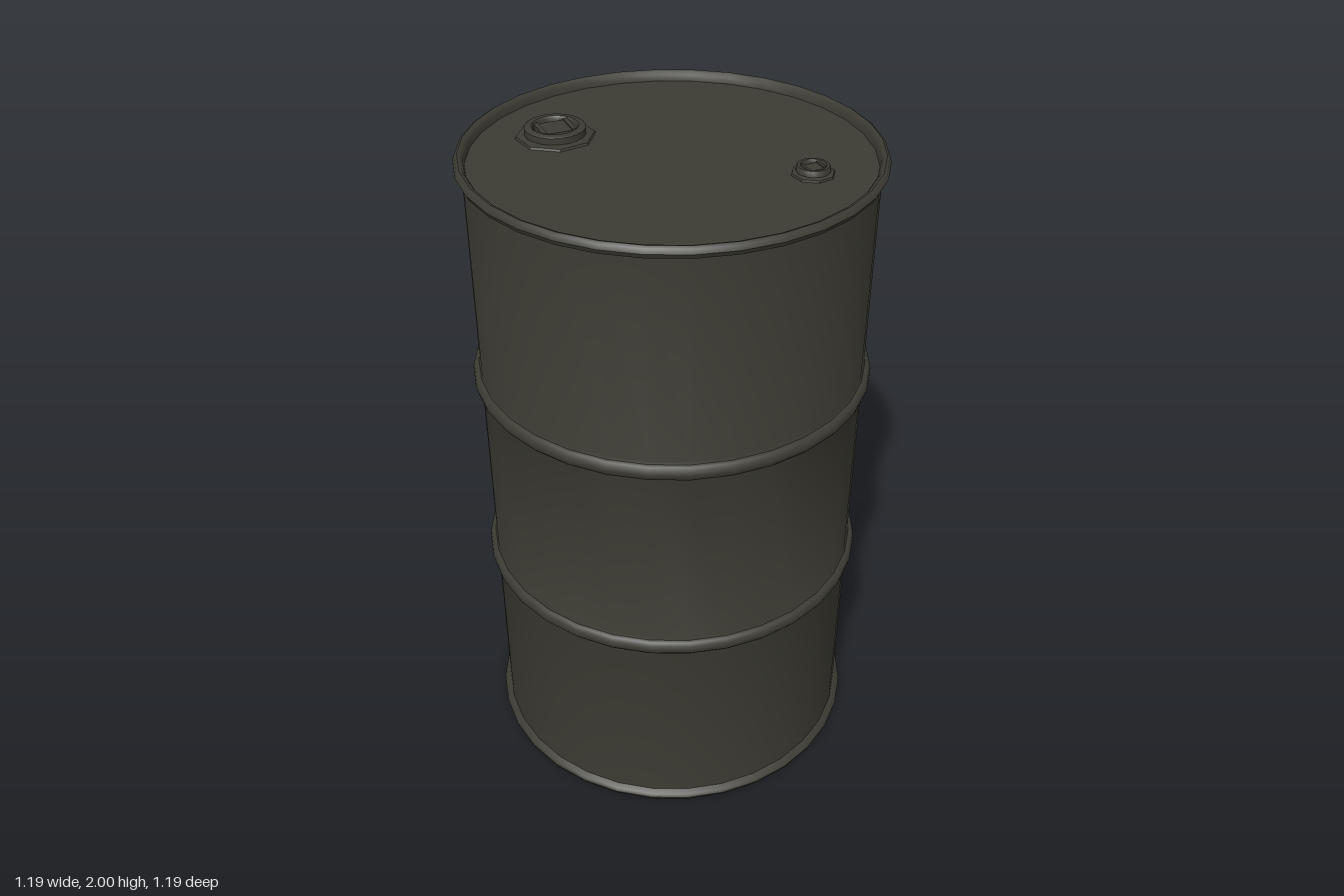
import * as THREE from 'three';
import { toCreasedNormals } from 'three/addons/utils/BufferGeometryUtils.js';

const SIDES = 32;

export function createModel() {
  const model = new THREE.Group();
  model.name = 'steelDrum';
  const paint = new THREE.MeshStandardMaterial({ color: 0x3c3b33 });
  paint.name = 'dark olive paint';

  // Revolves [radius, y] points, listed upwards on outer walls
  const lathe = (name, points, sides = SIDES, crease = 0.7) => {
    const profile = points.map(([r, y]) => new THREE.Vector2(r, y));
    const geometry = toCreasedNormals(new THREE.LatheGeometry(profile, sides), crease);
    const mesh = new THREE.Mesh(geometry, paint);
    mesh.name = name;
    return mesh;
  };

  // Half-round bead standing out from the wall at height y
  const WALL = 0.574, LID = 1.97;
  const bead = (y, half, out) => {
    const points = [[WALL, y - half * 1.35]];
    for (let i = 0; i <= 6; i++) {
      const a = -Math.PI / 2 + (i / 6) * Math.PI;
      points.push([WALL + 0.003 + (out - 0.003) * Math.cos(a), y + half * Math.sin(a)]);
    }
    points.push([WALL, y + half * 1.35]);
    return points;
  };

  // Flat bottom, chime, wall with two rolling hoops, rolled top rim and sunken lid
  const shell = lathe('drumShell', [
    [0, 0], [0.583, 0], [0.592, 0.006], [0.595, 0.015], [0.59, 0.025], [WALL, 0.033],
    ...bead(0.677, 0.024, 0.021),
    ...bead(1.323, 0.024, 0.021),
    [WALL, 1.962], [0.588, 1.968], [0.595, 1.982], [0.59, 1.995], [0.582, 2],
    [0.573, 1.997], [0.567, 1.988], [0.564, LID], [0, LID],
  ]);
  shell.rotation.y = 0.02;
  model.add(shell);

  // Threaded bung: octagonal flange, raised ring, sunken cup and a square grip
  const bung = (name, x, z, s, turn, height) => {
    const group = new THREE.Group();
    group.name = name;
    group.position.set(x, LID, z);
    const flange = lathe('flange', [
      [0.115 * s, 0], [0.112 * s, 0.006], [0.09 * s, 0.01], [0, 0.01],
    ], 8, 0.3);
    flange.rotation.y = 0.13;
    const ring = lathe('plugRing', [
      [0.088 * s, 0.005], [0.088 * s, height - 0.004], [0.083 * s, height],
      [0.068 * s, height], [0.064 * s, height - 0.004], [0.062 * s, 0.013], [0, 0.013],
    ], 20);
    group.add(flange, ring);

    // Grip bar with a low lip on two opposite sides
    const grip = new THREE.Group();
    grip.name = 'grip';
    grip.rotation.y = turn;
    const box = (part, w, h, d, px) => {
      const mesh = new THREE.Mesh(new THREE.BoxGeometry(w * s, h, d * s), paint);
      mesh.name = part;
      mesh.position.set(px * s, 0.01 + h / 2, 0);
      grip.add(mesh);
    };
    box('gripBar', 0.075, height - 0.016, 0.082, 0);
    for (const side of [-1, 1]) box('gripLip', 0.014, height - 0.012, 0.082, side * 0.044);
    group.add(grip);
    model.add(group);
  };
  bung('largeBung', -0.11, -0.34, 1, -0.45, 0.032);
  bung('smallBung', 0.163, 0.357, 0.53, -0.45, 0.026);

  return model;
}
